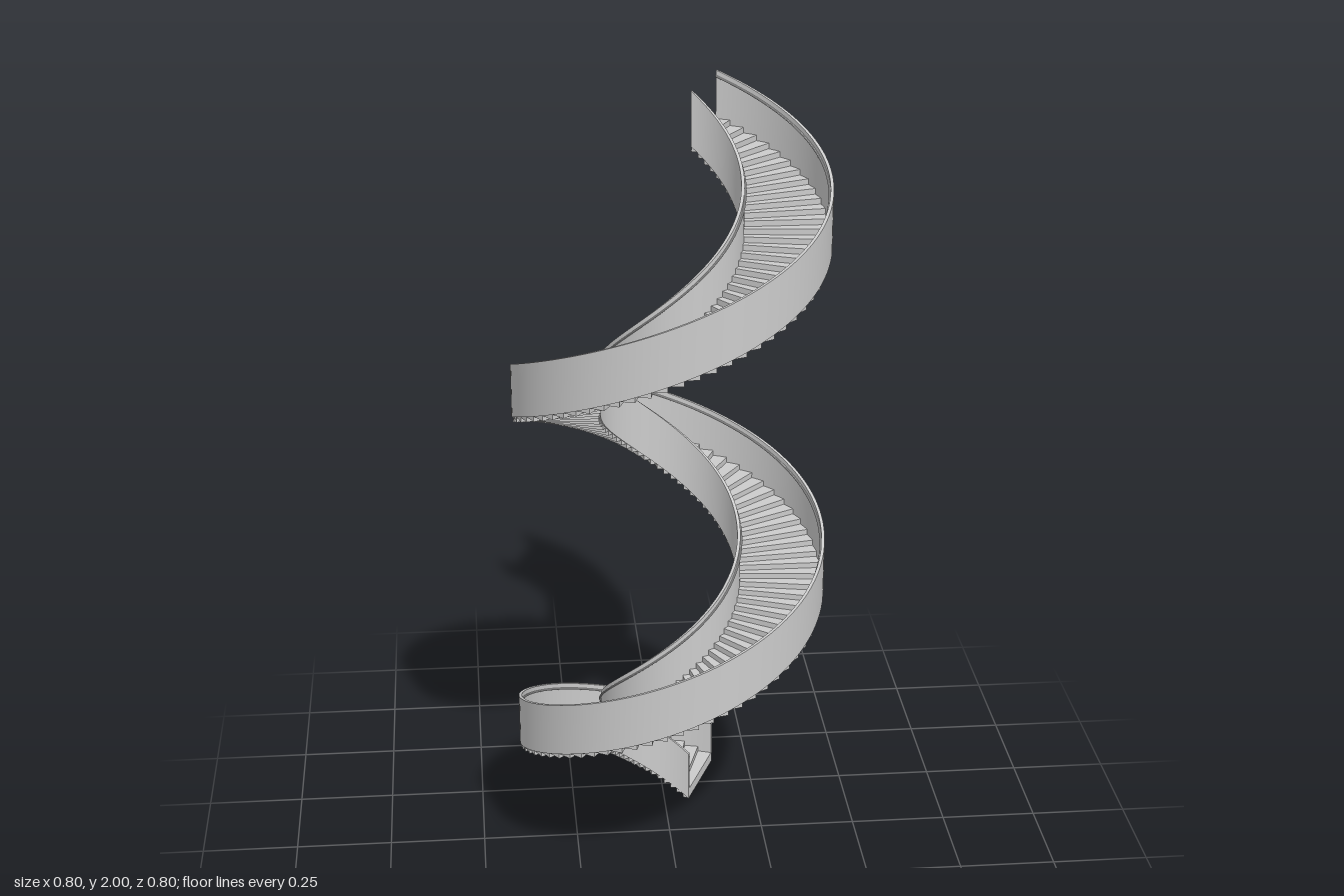
import * as THREE from 'three';

const TURNS = 2, STEPS = 128, START = THREE.MathUtils.degToRad(67.5);
const CLIMB = 1.86, RISE = CLIMB / STEPS, WALL_HEIGHT = 0.14;
const SWEEP = TURNS * Math.PI * 2;
const R_IN = 0.174, R_OUT = 0.398, WALL = 0.008;

// Sweeps a closed (radius, height) section, listed anticlockwise, up the helix.
function helixSweep(section, segments = 256) {
  const pos = [], index = [];
  const put = ([r, y], i) => {
    const t = i / segments, a = START + SWEEP * t;
    pos.push(r * Math.cos(a), y + CLIMB * t, -r * Math.sin(a));
  };
  const n = section.length;
  for (let k = 0; k < n; k++) { // one strip per side keeps the long edges sharp
    const base = pos.length / 3;
    for (let i = 0; i <= segments; i++) {
      put(section[k], i);
      put(section[(k + 1) % n], i);
      if (i === segments) continue;
      const p = base + i * 2;
      index.push(p, p + 3, p + 1, p, p + 2, p + 3);
    }
  }
  for (const end of [0, segments]) { // end caps
    const base = pos.length / 3;
    section.forEach((p) => put(p, end));
    for (let k = 1; k < n - 1; k++) {
      if (end === 0) index.push(base, base + k, base + k + 1);
      else index.push(base, base + k + 1, base + k);
    }
  }
  const g = new THREE.BufferGeometry();
  g.setAttribute('position', new THREE.Float32BufferAttribute(pos, 3));
  g.setIndex(index);
  g.computeVertexNormals();
  return g;
}

// Wedge-shaped tread lying flat, its underside at y = 0.
function treadGeometry() {
  const r0 = R_IN + WALL * 0.5, r1 = R_OUT - WALL * 0.5, step = SWEEP / STEPS;
  const shape = new THREE.Shape();
  shape.moveTo(r0, 0);
  shape.lineTo(r1, 0);
  shape.lineTo(r1 * Math.cos(step), r1 * Math.sin(step));
  shape.lineTo(r0 * Math.cos(step), r0 * Math.sin(step));
  shape.closePath();
  return new THREE.ExtrudeGeometry(shape, { depth: RISE * 2, bevelEnabled: false })
    .rotateX(-Math.PI / 2);
}

export function createModel() {
  const model = new THREE.Group();
  model.name = 'spiralStaircase';
  const material = new THREE.MeshStandardMaterial({ color: 0xcccccc });
  const add = (parent, name, geometry) => {
    const mesh = new THREE.Mesh(geometry, material);
    mesh.name = name;
    parent.add(mesh);
    return mesh;
  };

  // Solid balustrades following the helix
  const wall = (r) => helixSweep([[r, 0], [r + WALL, 0], [r + WALL, WALL_HEIGHT], [r, WALL_HEIGHT]]);
  add(model, 'innerBalustrade', wall(R_IN));
  add(model, 'outerBalustrade', wall(R_OUT - WALL));

  // Slim handrails on the stair side of each balustrade
  const rail = (r) => helixSweep(Array.from({ length: 8 }, (_, k) => {
    const a = (k / 8) * Math.PI * 2;
    return [r + 0.003 * Math.cos(a), WALL_HEIGHT - 0.015 + 0.003 * Math.sin(a)];
  }));
  add(model, 'innerHandrail', rail(R_IN + WALL + 0.002));
  add(model, 'outerHandrail', rail(R_OUT - WALL - 0.002));

  // Treads, each overlapping the next by one rise
  const treads = new THREE.Group();
  treads.name = 'treads';
  model.add(treads);
  const geometry = treadGeometry();
  for (let i = 0; i < STEPS; i++) {
    const tread = add(treads, 'tread', geometry);
    tread.position.y = i * RISE;
    tread.rotation.y = START + (SWEEP * i) / STEPS;
  }
  return model;
}
